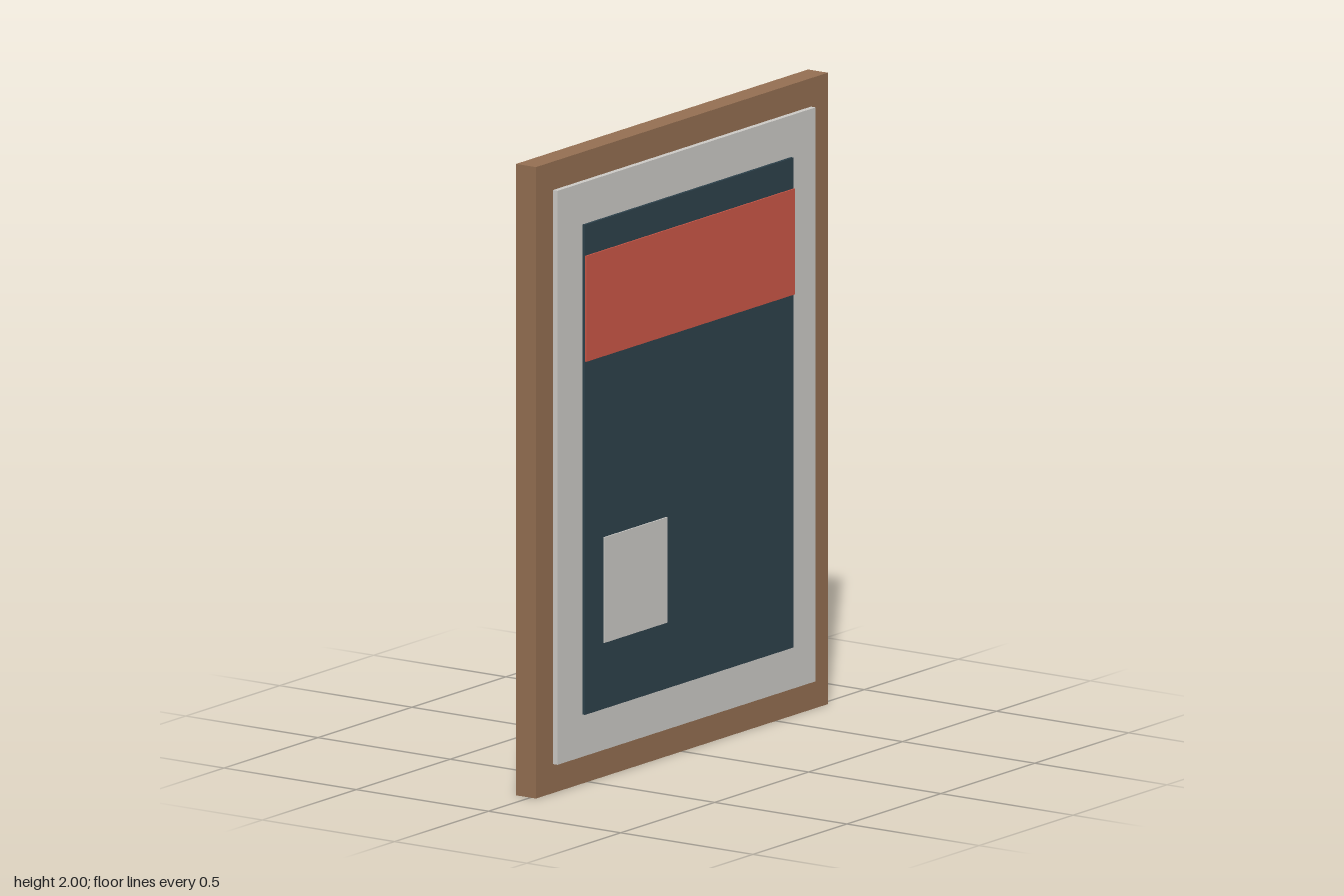
import * as THREE from 'three';

const material = (name, color) => {
  const m = new THREE.MeshStandardMaterial({ color });
  m.name = name;
  return m;
};

export function createModel() {
  const wood = material('wood brown', 0x946f52);
  const paper = material('paper grey', 0xcccac6);
  const navy = material('dark slate', 0x2d414b);
  const coral = material('coral red', 0xcb5747);

  const group = new THREE.Group();
  group.name = 'framedPicture';

  // Box given by its extents on each axis
  const slab = (name, mat, [x0, x1], [y0, y1], [z0, z1]) => {
    const mesh = new THREE.Mesh(new THREE.BoxGeometry(x1 - x0, y1 - y0, z1 - z0), mat);
    mesh.position.set((x0 + x1) / 2, (y0 + y1) / 2, (z0 + z1) / 2);
    mesh.name = name;
    group.add(mesh);
  };

  // Layers stacked from the back board forward
  slab('frame', wood, [-0.777, 0.777], [0, 2], [-0.054, 0.021]);
  slab('mount', paper, [-0.687, 0.687], [0.092, 1.91], [0.021, 0.039]);
  slab('picture', navy, [-0.555, 0.555], [0.226, 1.778], [0.039, 0.049]);

  // Painted shapes on the picture
  slab('stripe', coral, [-0.555, 0.555], [1.345, 1.68], [0.049, 0.054]);
  slab('square', paper, [-0.458, -0.122], [0.436, 0.77], [0.049, 0.054]);

  return group;
}
